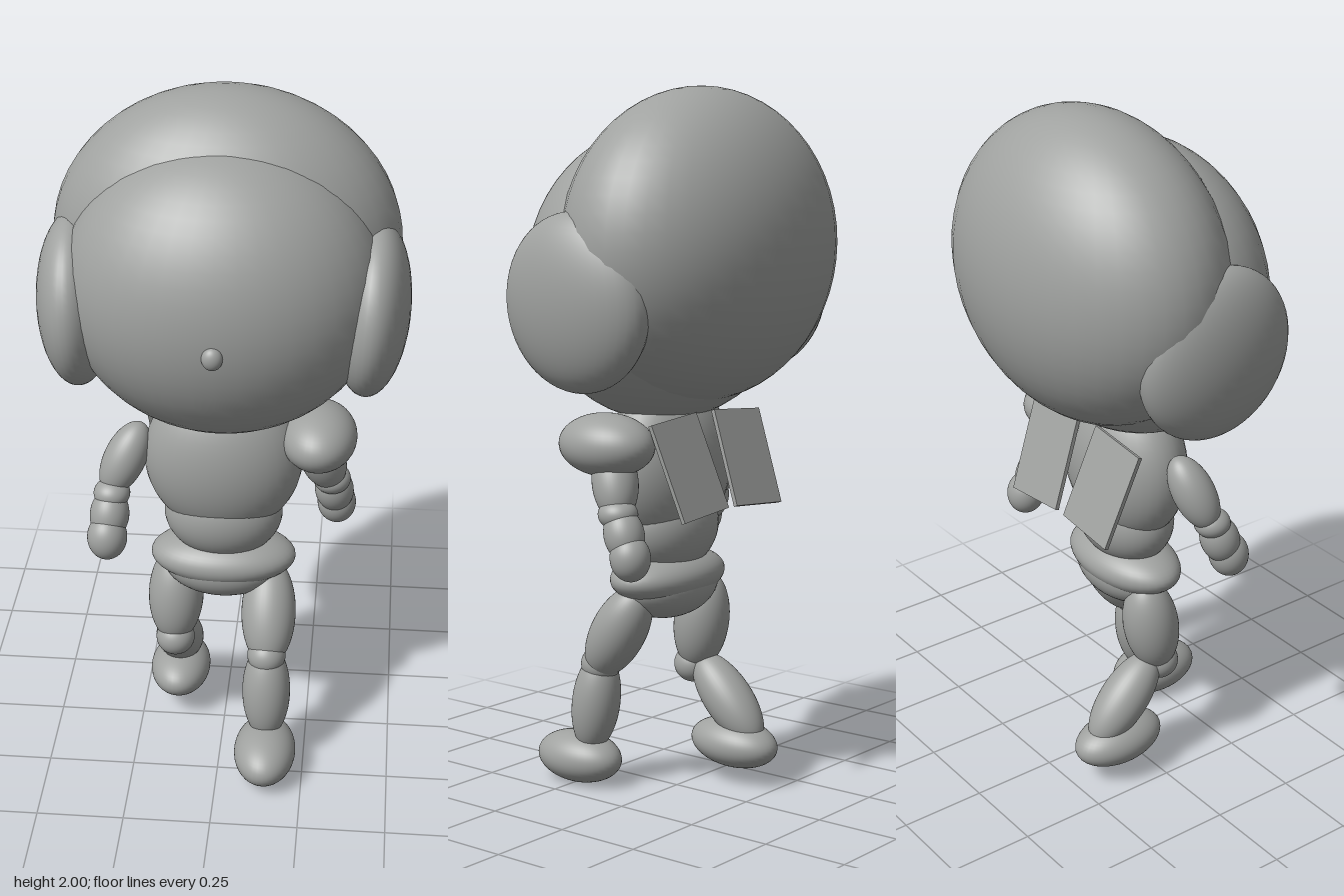
import * as THREE from 'three';

export function createModel() {
  const model = new THREE.Group();
  model.name = 'bigHeadedFigure';
  const grey = new THREE.MeshStandardMaterial({ color: 0xa0a2a0 });
  grey.name = 'plainGrey';
  const sphere = new THREE.SphereGeometry(1, 40, 28);
  const up = new THREE.Vector3(0, 1, 0);

  // Ellipsoid with centre, radii and optional rotation
  function blob(name, centre, radii, rotation = [0, 0, 0]) {
    const mesh = new THREE.Mesh(sphere, grey);
    mesh.name = name;
    mesh.position.set(...centre);
    mesh.scale.set(...radii);
    mesh.rotation.set(...rotation);
    model.add(mesh);
    return mesh;
  }

  // Ellipsoid stretched between two joints
  function limb(name, from, to, radius) {
    const a = new THREE.Vector3(...from);
    const b = new THREE.Vector3(...to);
    const axis = b.clone().sub(a);
    const middle = a.clone().add(b).multiplyScalar(0.5);
    const mesh = blob(name, middle.toArray(), [radius, axis.length() / 2, radius]);
    mesh.quaternion.setFromUnitVectors(up, axis.normalize());
  }

  // Head
  blob('face', [0, 1.485, 0.04], [0.44, 0.415, 0.345]);
  blob('hair', [0, 1.567, -0.09], [0.478, 0.433, 0.312]);
  blob('nose', [0, 1.44, 0.382], [0.028, 0.032, 0.023]);
  for (const side of [-1, 1]) {
    blob(side > 0 ? 'leftEar' : 'rightEar', [side * 0.402, 1.424, 0.018],
      [0.106, 0.243, 0.237], [0, 0, -side * 0.05]);
  }

  // Body
  blob('chest', [0, 0.95, 0.03], [0.225, 0.24, 0.145]);
  blob('waist', [0, 0.77, 0.03], [0.17, 0.14, 0.125]);
  blob('belt', [0, 0.625, 0.032], [0.21, 0.077, 0.127]);
  blob('pelvis', [0, 0.6, 0.032], [0.175, 0.1, 0.12]);

  // Right arm, swung forward
  limb('rightUpperArm', [-0.23, 1.045, 0.03], [-0.325, 0.845, 0.09], 0.06);
  blob('rightElbow', [-0.312, 0.852, 0.1], [0.052, 0.042, 0.052]);
  limb('rightForearm', [-0.312, 0.865, 0.1], [-0.322, 0.725, 0.15], 0.056);
  limb('rightHand', [-0.321, 0.805, 0.145], [-0.322, 0.672, 0.165], 0.057);

  // Left arm with shoulder pad, swung back
  blob('leftShoulderPad', [0.268, 1.028, 0.032], [0.108, 0.088, 0.148]);
  limb('leftUpperArm', [0.25, 1.03, 0.03], [0.31, 0.83, -0.045], 0.064);
  blob('leftElbow', [0.307, 0.848, -0.04], [0.054, 0.043, 0.056]);
  limb('leftForearm', [0.305, 0.865, -0.04], [0.323, 0.725, -0.095], 0.056);
  limb('leftHand', [0.318, 0.8, -0.085], [0.325, 0.672, -0.105], 0.056);

  // Left leg, stepping forward
  limb('leftThigh', [0.135, 0.605, 0.02], [0.14, 0.335, 0.185], 0.079);
  blob('leftKnee', [0.137, 0.365, 0.17], [0.056, 0.055, 0.058]);
  limb('leftShin', [0.137, 0.4, 0.165], [0.14, 0.1, 0.21], 0.07);
  blob('leftFoot', [0.14, 0.078, 0.25], [0.09, 0.075, 0.141]);

  // Right leg, trailing
  limb('rightThigh', [-0.138, 0.615, -0.005], [-0.145, 0.315, 0.045], 0.081);
  blob('rightKnee', [-0.142, 0.33, 0.05], [0.057, 0.055, 0.057]);
  limb('rightShin', [-0.142, 0.36, 0.03], [-0.143, 0.13, -0.185], 0.071);
  blob('rightFoot', [-0.143, 0.118, -0.1], [0.09, 0.071, 0.142], [-0.05, 0, 0]);

  // Pair of flat panels hanging from the upper back
  const panel = new THREE.BoxGeometry(0.205, 0.28, 0.012);
  for (const side of [-1, 1]) {
    const mesh = new THREE.Mesh(panel, grey);
    mesh.name = side > 0 ? 'leftBackPanel' : 'rightBackPanel';
    mesh.position.set(side * 0.132, 0.965, -0.148);
    mesh.rotation.set(0.36, 0, -side * 0.08);
    model.add(mesh);
  }

  return model;
}
